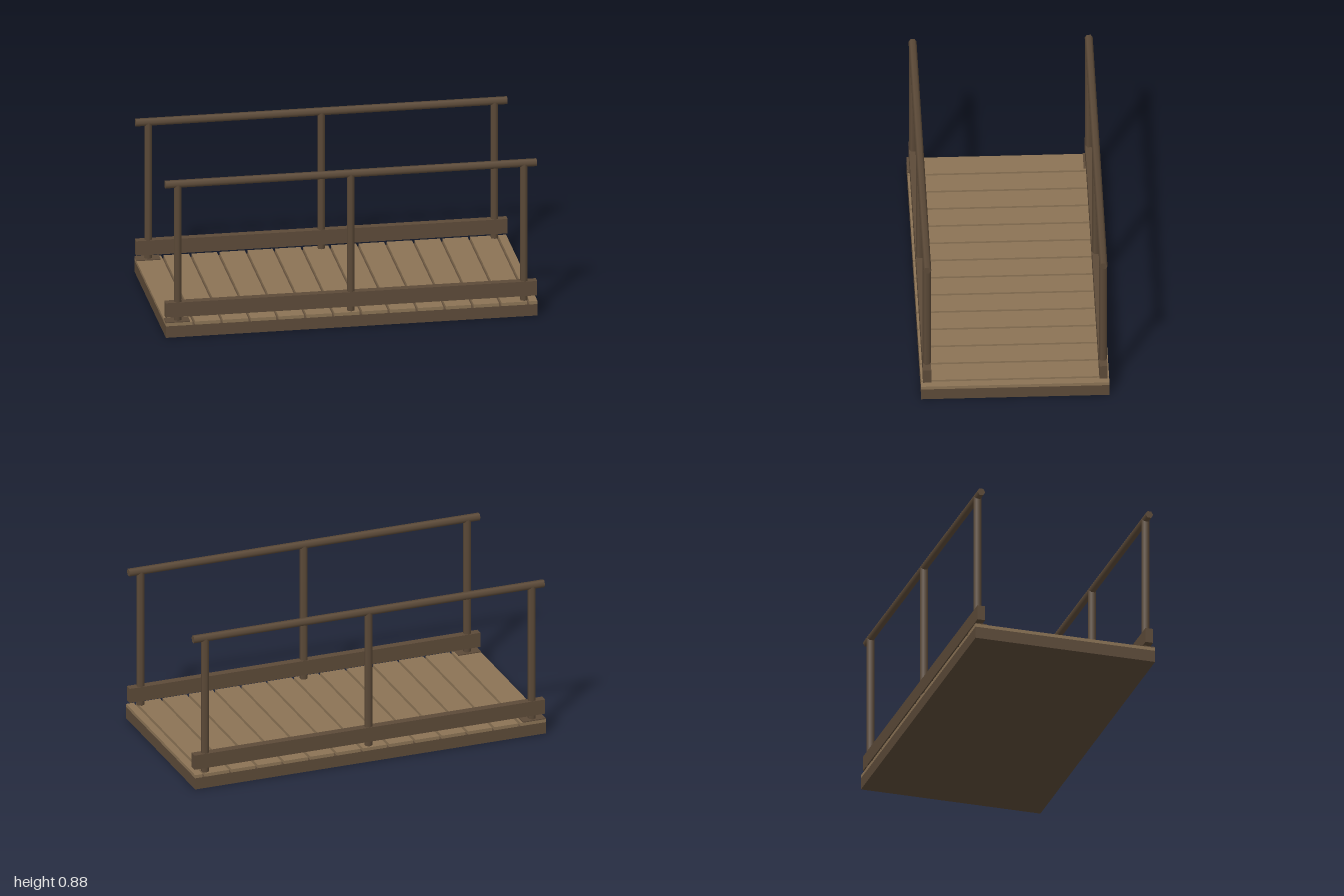
import * as THREE from 'three';

const railWood = new THREE.MeshStandardMaterial({ color: 0x5c4a38 });
railWood.name = 'dark wood';
const plankWood = new THREE.MeshStandardMaterial({ color: 0x8b7355 });
plankWood.name = 'light wood';

export function createModel() {
  const model = new THREE.Group();
  model.name = 'footbridge';

  const add = (name, geometry, material, x, y, z, parent = model) => {
    const mesh = new THREE.Mesh(geometry, material);
    mesh.name = name;
    mesh.position.set(x, y, z);
    parent.add(mesh);
    return mesh;
  };
  // box given by its lower and upper bounds
  const box = (name, material, x0, x1, y0, y1, z0, z1, parent) =>
    add(name, new THREE.BoxGeometry(x1 - x0, y1 - y0, z1 - z0), material,
      (x0 + x1) / 2, (y0 + y1) / 2, (z0 + z1) / 2, parent);

  // solid deck base
  box('deckBase', railWood, -1, 1, 0, 0.065, -0.5, 0.5);

  // cross planks with narrow gaps, the last one cut short
  const pitch = 0.15, gap = 0.014;
  for (let i = 0; i < 14; i++) {
    const x0 = i === 0 ? -1 : -1 + i * pitch + gap / 2;
    const x1 = Math.min(1, -1 + (i + 1) * pitch - gap / 2);
    box('plank', plankWood, x0, x1, 0.065, 0.083, -0.5, 0.5);
  }

  // one railing per side
  const radius = 0.0215, railY = 0.859, railZ = 0.468;
  for (const side of [-1, 1]) {
    const railing = new THREE.Group();
    railing.name = side > 0 ? 'frontRailing' : 'backRailing';
    model.add(railing);
    const z = side * railZ;

    // hexagonal posts
    for (const x of [-0.932, 0, 0.932]) {
      add('post', new THREE.CylinderGeometry(radius, radius, railY - 0.083, 6), railWood,
        x, (railY + 0.083) / 2, z, railing);
    }

    // hexagonal handrail, flat side up
    const railGeometry = new THREE.CylinderGeometry(radius, radius, 2, 6);
    railGeometry.rotateZ(Math.PI / 2);
    add('handrail', railGeometry, railWood, 0, railY, z, railing);

    // kick board along the deck
    box('kickBoard', railWood, -1, 1, 0.11, 0.192, z - 0.0215, z + 0.0215, railing);

    // mounting plate under the first post
    box('footPlate', railWood, -1, -0.87, 0.083, 0.088, z - 0.032, z + 0.032, railing);
  }
  return model;
}
